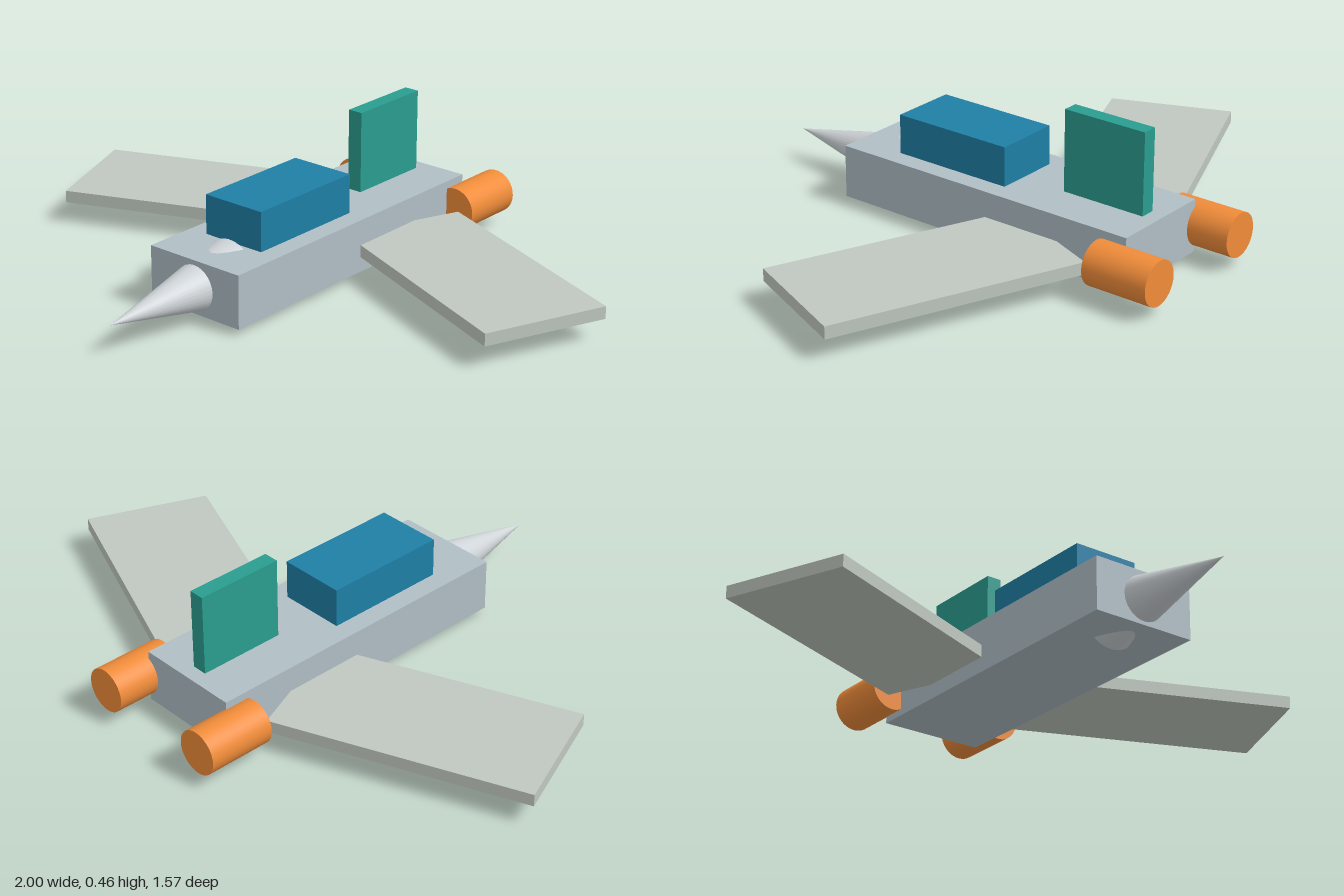
import * as THREE from 'three';

export function createModel() {
  const model = new THREE.Group();
  const axisY = 0.105; // height of the fuselage centre line

  const add = (name, geometry, color, x, y, z) => {
    const mesh = new THREE.Mesh(geometry, new THREE.MeshStandardMaterial({ color }));
    mesh.name = name;
    mesh.position.set(x, y, z);
    model.add(mesh);
    return mesh;
  };

  // Fuselage, canopy and tail fin
  add('fuselage', new THREE.BoxGeometry(0.35, 0.172, 1.08), 0xb0bec5, 0, 0.107, -0.105);
  add('canopy', new THREE.BoxGeometry(0.22, 0.128, 0.412), 0x1f7fa6, 0, 0.257, 0.056);
  add('tailFin', new THREE.BoxGeometry(0.05, 0.265, 0.287), 0x2a9d8f, 0, 0.325, -0.452);

  // Nose cone, its wide base sunk into the fuselage
  const nose = new THREE.ConeGeometry(0.105, 0.505, 32).rotateX(Math.PI / 2);
  add('noseCone', nose, 0xcfd4d8, 0, axisY, 0.532);

  // Forward-swept wings and rear engines, mirrored left and right
  for (const [label, s] of [['left', 1], ['right', -1]]) {
    const wing = add(label + 'Wing', new THREE.BoxGeometry(0.824, 0.04, 0.41), 0xc0c8c0, s * 0.54, 0.09, -0.2);
    wing.rotation.y = -s * 0.385;

    const engine = new THREE.CylinderGeometry(0.071, 0.071, 0.222, 32).rotateX(Math.PI / 2);
    add(label + 'Engine', engine, 0xf08c3a, s * 0.207, axisY, -0.674);
  }
  return model;
}
